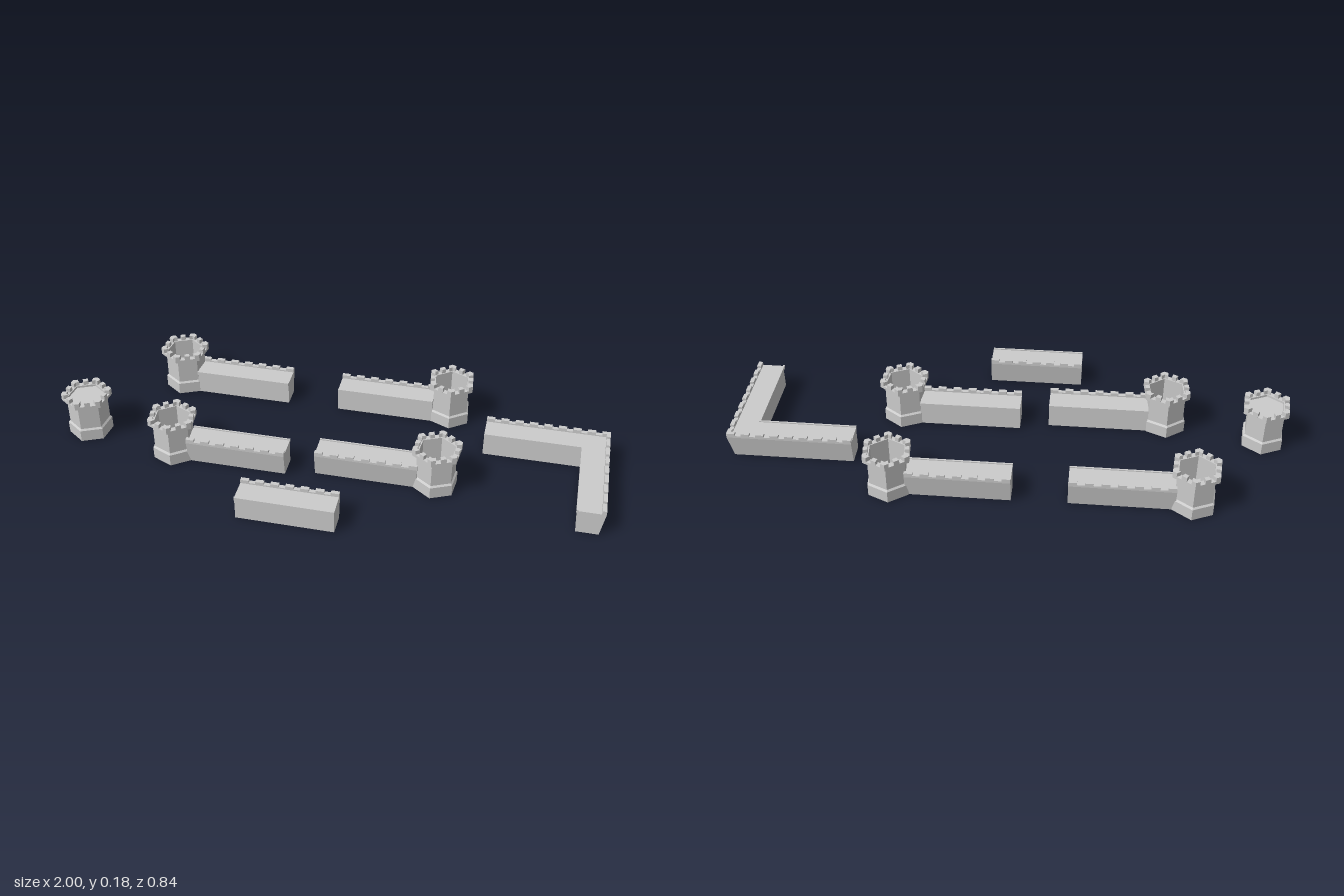
import * as THREE from 'three';

const stone = new THREE.MeshStandardMaterial({ color: 0xcccccc, flatShading: true });

function addMesh(parent, name, geometry) {
  const g = geometry.index ? geometry.toNonIndexed() : geometry;
  g.computeVertexNormals();
  const mesh = new THREE.Mesh(g, stone);
  mesh.name = name;
  parent.add(mesh);
  return mesh;
}

const WALL_TOP = 0.105, DEPTH = 0.1, PARAPET = 0.015;

// Wall running along +x from 0 to length; battered outer face at z = 0, walkway towards +z.
// mitre 'start' or 'end' cuts that end at 45 degrees for a corner.
function makeWall(name, length, merlons, mitre) {
  const wall = new THREE.Group();
  wall.name = name;

  // cross-section: x is depth from the outer face, y is height
  const profile = [
    [0.014, 0], [0.093, 0], [0.093, 0.081], [DEPTH, 0.083], [DEPTH, 0.095], [0.094, 0.095],
    [0.094, 0.091], [PARAPET, 0.091], [PARAPET, 0.096], [0, 0.096], [0, 0.088],
  ].map(([x, y]) => new THREE.Vector2(x, y));
  const body = new THREE.ExtrudeGeometry(new THREE.Shape(profile), { depth: length, bevelEnabled: false });
  body.rotateY(-Math.PI / 2).translate(length, 0, 0);
  const p = body.attributes.position;
  for (let i = 0; i < p.count; i++) {
    const atEnd = p.getX(i) > length / 2;
    if (mitre === 'end' && atEnd) p.setX(i, length - p.getZ(i));
    if (mitre === 'start' && !atEnd) p.setX(i, p.getZ(i));
  }
  addMesh(wall, 'wallBody', body);

  // battlements along the outer edge
  const width = 0.03, pitch = (length - width) / (merlons - 1);
  for (let i = 0; i < merlons; i++) {
    const box = new THREE.BoxGeometry(width, WALL_TOP - 0.094, PARAPET);
    box.translate(width / 2 + i * pitch, (WALL_TOP + 0.094) / 2, PARAPET / 2);
    addMesh(wall, 'wallMerlon', box);
  }
  return wall;
}

const INNER = 0.069, CROWN = 0.092;

// Vertical prism over a footprint of [x, z] points
function prism(points, y0, y1) {
  const shape = new THREE.Shape(points.map(([x, z]) => new THREE.Vector2(x, -z)));
  const g = new THREE.ExtrudeGeometry(shape, { depth: y1 - y0, bevelEnabled: false });
  return g.rotateX(-Math.PI / 2).translate(0, y0, 0);
}

// Point at fraction t along side k of a hexagon of radius r
function hexPoint(r, k, t) {
  const a = (k * Math.PI) / 3, b = a + Math.PI / 3;
  return [
    r * ((1 - t) * Math.sin(a) + t * Math.sin(b)),
    r * ((1 - t) * Math.cos(a) + t * Math.cos(b)),
  ];
}

function makeTower(name, x, z, turn, roofed) {
  const tower = new THREE.Group();
  tower.name = name;
  tower.position.set(x, 0, z);
  tower.rotation.y = turn;

  // hollow hexagonal shell: plinth, shaft and overhanging crown
  const profile = [
    [INNER, 0], [0.081, 0], [0.081, 0.045], [0.074, 0.051], [0.074, 0.148], [CROWN, 0.149],
    [CROWN, 0.16], [INNER, 0.16], [INNER, 0],
  ].map(([r, y]) => new THREE.Vector2(r, y));
  addMesh(tower, 'towerShell', new THREE.LatheGeometry(profile, 6));

  // merlons: one in the middle of each side and one wrapping each corner
  const inner = INNER + 0.004;
  for (let k = 0; k < 6; k++) {
    const middle = [
      hexPoint(CROWN, k, 0.39), hexPoint(CROWN, k, 0.61),
      hexPoint(inner, k, 0.61), hexPoint(inner, k, 0.39),
    ];
    const corner = [
      hexPoint(CROWN, k, 0.82), hexPoint(CROWN, k, 1), hexPoint(CROWN, k + 1, 0.18),
      hexPoint(inner, k + 1, 0.18), hexPoint(inner, k, 1), hexPoint(inner, k, 0.82),
    ];
    addMesh(tower, 'sideMerlon', prism(middle, 0.159, 0.176));
    addMesh(tower, 'cornerMerlon', prism(corner, 0.159, 0.176));
  }

  // platform closing the top
  if (roofed) {
    const floor = new THREE.CylinderGeometry(0.072, 0.072, 0.004, 6);
    addMesh(tower, 'towerFloor', floor.translate(0, 0.15, 0));
  }
  return tower;
}

export function createModel() {
  const model = new THREE.Group();
  model.name = 'castleKit';

  model.add(makeTower('loneTower', -0.916, 0.048, -0.1, true));

  // towers with a wall: tower centre, turn, wall x range, outer face z, battlements at front or back
  const pieces = [
    ['backRight', -0.655, -0.325, -0.1, -0.593, -0.226, -0.371, false],
    ['backLeft', 0.398, -0.33, 0.1, -0.03, 0.336, -0.375, false],
    ['frontRight', -0.56, 0.113, 0.1, -0.498, -0.133, 0.162, true],
    ['frontLeft', 0.405, 0.088, -0.1, -0.028, 0.343, 0.134, true],
  ];
  for (const [name, tx, tz, turn, x0, x1, z, front] of pieces) {
    model.add(makeTower(name + 'Tower', tx, tz, turn, false));
    const wall = makeWall(name + 'Wall', x1 - x0, 7);
    wall.position.set(front ? x1 : x0, 0, z);
    if (front) wall.rotation.y = Math.PI;
    model.add(wall);
  }

  // free-standing straight wall
  const straight = makeWall('straightWall', 0.35, 7);
  straight.position.set(-0.242, 0, 0.321);
  model.add(straight);

  // L-shaped corner wall from two mitred arms
  const corner = new THREE.Group();
  corner.name = 'cornerWall';
  const backArm = makeWall('cornerBackArm', 0.45, 9, 'end');
  backArm.position.set(0.55, 0, -0.218);
  const sideArm = makeWall('cornerSideArm', 0.447, 9, 'start');
  sideArm.position.set(1, 0, -0.218);
  sideArm.rotation.y = -Math.PI / 2;
  corner.add(backArm, sideArm);
  model.add(corner);

  return model;
}
